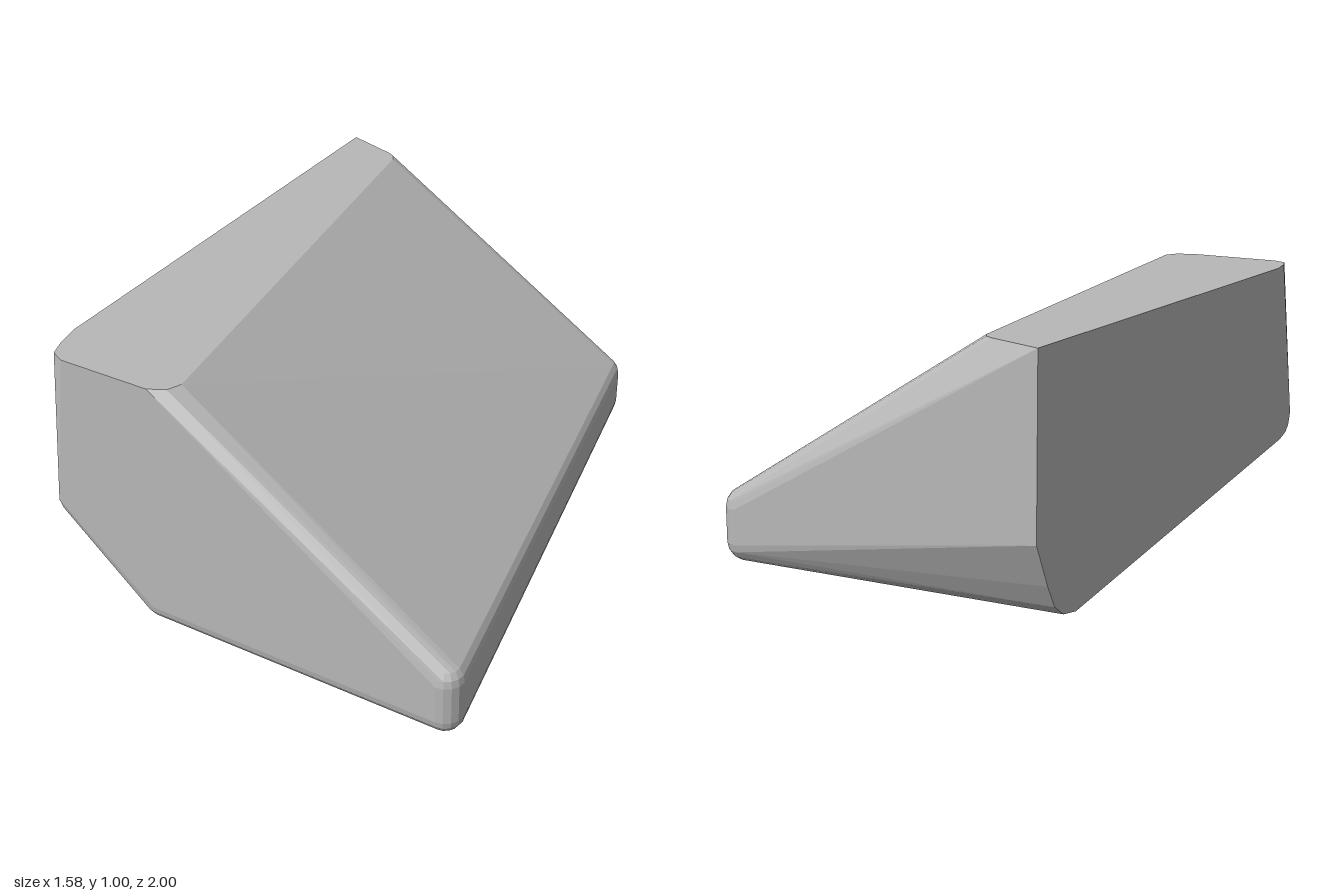
import * as THREE from 'three';
import { ConvexGeometry } from 'three/addons/geometries/ConvexGeometry.js';

const V = (x, y, z) => new THREE.Vector3(x, y, z);

// Faceted ball of points that rounds one corner of the hull
function roundCorner(x, y, z, r = 0.07, steps = 16) {
  const points = [];
  for (let i = 0; i <= steps / 2; i++) {
    const lat = (i / steps) * Math.PI * 2;
    const count = i === 0 || i === steps / 2 ? 1 : steps;
    for (let j = 0; j < count; j++) {
      const lon = (j / steps) * Math.PI * 2;
      points.push(V(
        x + r * Math.sin(lat) * Math.cos(lon),
        y + r * Math.cos(lat),
        z + r * Math.sin(lat) * Math.sin(lon)));
    }
  }
  return points;
}

export function createModel() {
  const group = new THREE.Group();
  group.name = 'wedgeBlock';
  const stone = new THREE.MeshStandardMaterial({ color: 0xb8b8b8 });
  stone.name = 'plain grey';

  // Rounded free corners: front right, back right, front lower left
  const corners = [
    [0.72, 0.07, 0.93], [0.72, 0.219, 0.93],
    [0.435, 0.175, -0.87], [0.435, 0.3, -0.87],
    [-0.413, 0.07, 0.93],
  ].flatMap((c) => roundCorner(...c));

  // Flat top outline at y = 1, as x, z
  const top = [
    [-0.79, 0.82], [-0.77, 0.92], [-0.75, 0.975], [-0.7, 1],
    [-0.35, 1], [-0.29, 0.97], [-0.268, 0.92],
    [-0.548, -0.89], [-0.565, -0.92], [-0.59, -0.935], [-0.79, -1],
  ].map(([x, z]) => V(x, 1, z));

  // Flat side outline at x = -0.79, as y, z
  const side = [
    [0.4, 1], [0.355, 0.985], [0.33, 0.96], [0.312, 0.9],
    [0.115, -0.75], [0.13, -0.83], [0.17, -0.885], [0.25, -0.93], [0.4, -1],
  ].map(([y, z]) => V(-0.79, y, z));

  const body = new THREE.Mesh(new ConvexGeometry([...corners, ...top, ...side]), stone);
  body.name = 'wedgeBody';
  group.add(body);
  return group;
}
